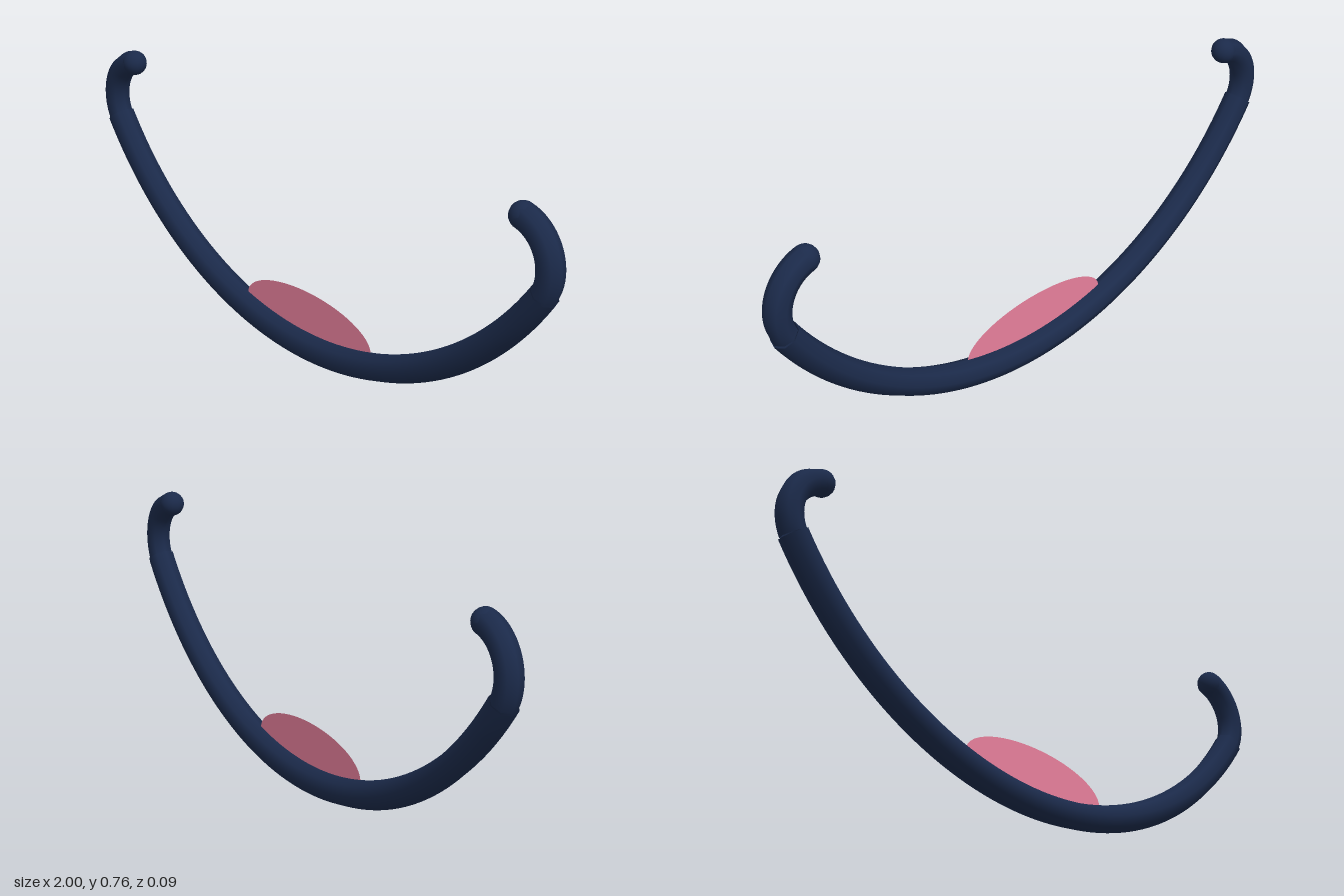
import * as THREE from 'three';

// Circular arc in the z = 0 plane, usable as a tube path
class Arc extends THREE.Curve {
  constructor(x, y, radius, from, to) {
    super();
    Object.assign(this, { x, y, radius, from, to });
  }
  getPoint(t, target = new THREE.Vector3()) {
    const a = THREE.MathUtils.degToRad(this.from + (this.to - this.from) * t);
    return target.set(this.x + this.radius * Math.cos(a), this.y + this.radius * Math.sin(a), 0);
  }
}

export function createModel() {
  const group = new THREE.Group();
  group.name = 'smilingMouth';
  const lipMaterial = new THREE.MeshStandardMaterial({ color: 0x1b2a4a, side: THREE.DoubleSide });
  const tongueMaterial = new THREE.MeshStandardMaterial({ color: 0xe8809c, side: THREE.DoubleSide });

  const add = (name, geometry, material) => {
    const mesh = new THREE.Mesh(geometry, material);
    mesh.name = name;
    group.add(mesh);
    return mesh;
  };

  // Wide smile line
  const smile = new Arc(0, 1.2035, 1.1575, 270 - 54.7, 270 + 54.7);
  add('smileLine', new THREE.TubeGeometry(smile, 64, 0.043, 8), lipMaterial);

  // Curled corners with rounded tips
  for (const [side, s] of [['left', 1], ['right', -1]]) {
    const curl = s > 0 ? new Arc(0.832, 0.6, 0.13, -30, 78.5) : new Arc(-0.832, 0.6, 0.13, 210, 101.5);
    add(side + 'Curl', new THREE.TubeGeometry(curl, 24, 0.039, 8), lipMaterial);
    add(side + 'Tip', new THREE.SphereGeometry(0.039, 16, 12), lipMaterial).position.copy(curl.getPoint(1));
  }

  // Flat oval tongue resting on the smile line
  const oval = new THREE.Shape().absellipse(0, 0.122, 0.285, 0.098, 0, Math.PI * 2);
  add('tongue', new THREE.ShapeGeometry(oval, 32), tongueMaterial);

  return group;
}
